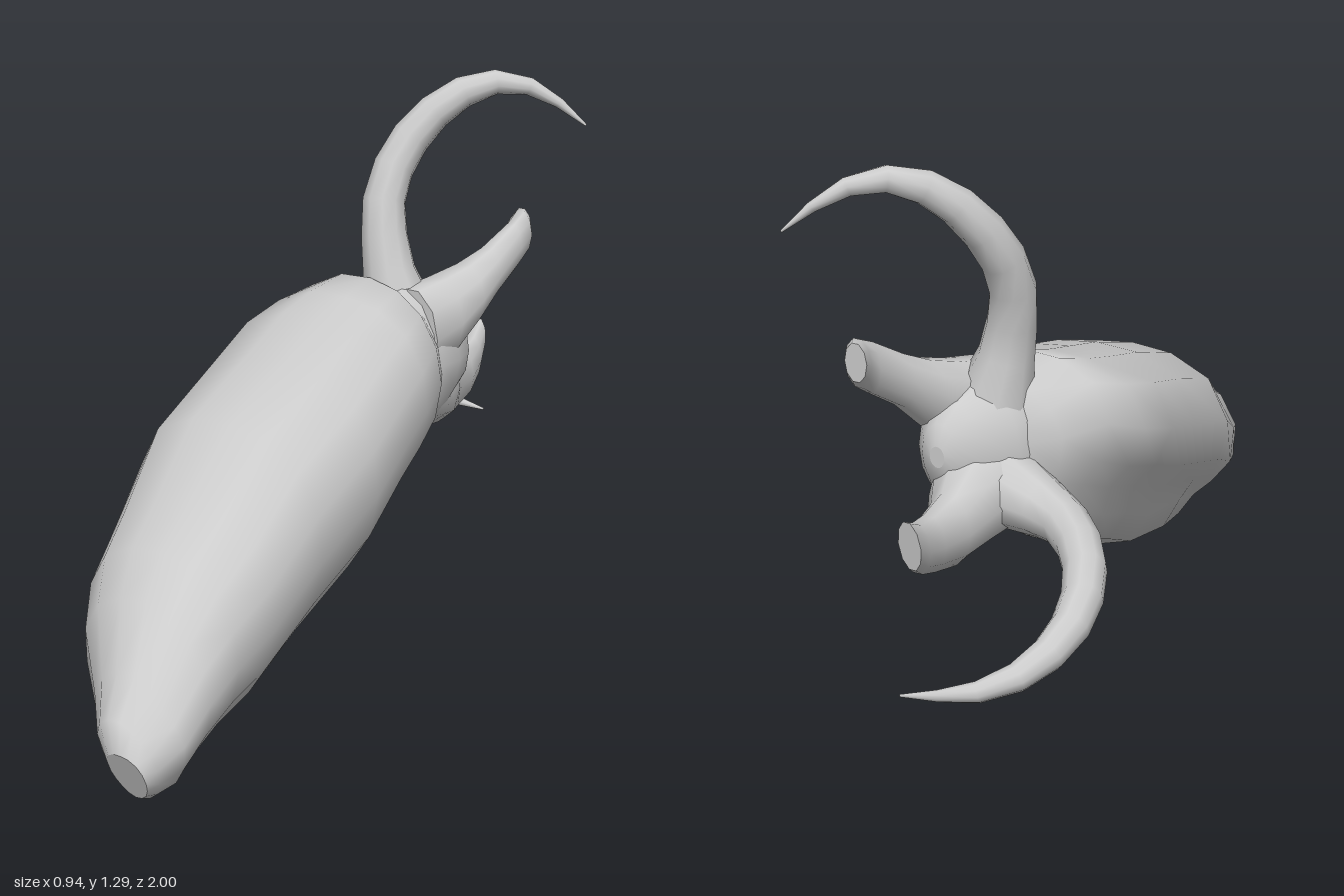
import * as THREE from 'three';

const material = new THREE.MeshStandardMaterial({ color: 0xcccccc, side: THREE.DoubleSide });

// Skin a list of equal-length rings, closing both ends with flat caps
function loft(name, rings) {
  const n = rings[0].length, pos = [], idx = [];
  const put = p => pos.push(p.x, p.y, p.z) / 3 - 1;
  rings.forEach(r => r.forEach(put));
  for (let i = 0; i < rings.length - 1; i++) {
    for (let j = 0; j < n; j++) {
      const a = i * n + j, b = i * n + (j + 1) % n, c = a + n, d = b + n;
      idx.push(a, c, b, b, c, d);
    }
  }
  const cap = (ring, flip) => {
    const mid = ring.reduce((s, p) => s.add(p), new THREE.Vector3()).divideScalar(n);
    const m = put(mid), first = m + 1;
    ring.forEach(put);
    for (let j = 0; j < n; j++) {
      const a = first + j, b = first + (j + 1) % n;
      if (flip) idx.push(m, b, a); else idx.push(m, a, b);
    }
  };
  cap(rings[0], false);
  cap(rings[rings.length - 1], true);
  const g = new THREE.BufferGeometry();
  g.setAttribute('position', new THREE.Float32BufferAttribute(pos, 3));
  g.setIndex(idx);
  g.computeVertexNormals();
  const mesh = new THREE.Mesh(g, material);
  mesh.name = name;
  return mesh;
}

// Oval section [z, xMin, xMax, yMin, yMax, tilt]; shape(angle) scales the radius
function oval([z, x0, x1, y0, y1, tilt = 0], sides, shape = () => 1) {
  return Array.from({ length: sides }, (_, j) => {
    const a = j / sides * Math.PI * 2, k = shape(a) / 2;
    const dy = (y1 - y0) * k * Math.sin(a);
    return new THREE.Vector3((x0 + x1) / 2 + (x1 - x0) * k * Math.cos(a), (y0 + y1) / 2 + dy, z + tilt * dy);
  });
}

// Tapered tube through points [x, y, z, radius]
function horn(name, pts, steps = 12, sides = 10) {
  const curve = new THREE.CatmullRomCurve3(pts.map(p => new THREE.Vector3(p[0], p[1], p[2])));
  const frames = curve.computeFrenetFrames(steps);
  const rings = [];
  for (let i = 0; i <= steps; i++) {
    const u = i / steps, t = curve.getUtoTmapping(u) * (pts.length - 1);
    const k = Math.min(Math.floor(t), pts.length - 2);
    const r = THREE.MathUtils.lerp(pts[k][3], pts[k + 1][3], t - k);
    const c = curve.getPointAt(u);
    rings.push(Array.from({ length: sides }, (_, j) => {
      const a = j / sides * Math.PI * 2;
      return c.clone().addScaledVector(frames.normals[i], r * Math.cos(a))
        .addScaledVector(frames.binormals[i], -r * Math.sin(a));
    }));
  }
  return loft(name, rings);
}

export function createModel() {
  const group = new THREE.Group();
  group.name = 'hornedBody';

  // Long body. The last four numbers of a section swell or pinch it: upper +x
  // corner, upper -x corner, then depth and angle of the cut on the lower -x side
  const lobe = (a, deg) => Math.max(0, Math.cos(a - deg * Math.PI / 180)) ** 6;
  const bodyShape = ([right, left, cut, cutAngle]) => a =>
    1 + right * lobe(a, 45) + left * lobe(a, 140) - cut * lobe(a, cutAngle);
  const bodySections = [
    [0.978, 0.34, 0.44, 0.02, 0.125, 0.4, 0.08, 0.15, 0.1, 222],
    [0.955, 0.29, 0.455, 0.005, 0.19, 0.3, -0.13, 0.1, 0.25, 222],
    [0.89, 0.21, 0.47, 0.0, 0.26, 0.1, -0.25, 0.08, 0.25, 222],
    [0.8, 0.09, 0.46, 0.015, 0.37, 0, -0.08, 0.1, 0.25, 222],
    [0.7, 0.01, 0.445, 0.035, 0.44, 0, 0.03, 0.12, 0.26, 222],
    [0.57, -0.06, 0.425, 0.05, 0.5, 0, 0.07, 0.12, 0.27, 220],
    [0.36, -0.16, 0.385, 0.11, 0.62, 0, 0.07, 0.15, 0.31, 212],
    [0.11, -0.22, 0.335, 0.18, 0.7, 0, 0.07, 0.18, 0.32, 205],
    [-0.08, -0.275, 0.275, 0.27, 0.755, 0, 0.06, 0.18, 0.32, 203],
    [-0.2, -0.275, 0.235, 0.315, 0.785, 0, 0.04, 0.18, 0.3, 203],
    [-0.3, -0.245, 0.2, 0.365, 0.815, 0, 0, 0.15, 0.25, 205],
    [-0.38, -0.18, 0.14, 0.425, 0.76, 0, 0, 0.1, 0.2, 210],
    [-0.41, -0.1, 0.1, 0.5, 0.7, 0, 0, 0, 0, 0],
  ];
  group.add(loft('body', bodySections.map(s => oval(s, 16, bodyShape(s.slice(6))))));

  // Hub joining the body to the horns and prongs
  const hubSections = [
    [-0.28, -0.12, 0.15, 0.44, 0.78],
    [-0.36, -0.12, 0.16, 0.42, 0.81],
    [-0.43, -0.1, 0.155, 0.45, 0.78],
    [-0.5, -0.05, 0.13, 0.5, 0.74],
    [-0.54, -0.01, 0.09, 0.55, 0.7],
    [-0.552, 0.02, 0.06, 0.6, 0.65],
  ];
  group.add(loft('hub', hubSections.map(s => oval(s, 14))));

  // Two blunt prongs at the back, broad where they leave the hub
  const upper = [
    [-0.34, -0.02, 0.155, 0.56, 0.8],
    [-0.43, 0.0, 0.165, 0.6, 0.815],
    [-0.51, 0.035, 0.168, 0.67, 0.835],
    [-0.58, 0.07, 0.166, 0.735, 0.865],
    [-0.67, 0.095, 0.16, 0.79, 0.915],
    [-0.72, 0.08, 0.155, 0.82, 0.935],
    [-0.75, 0.07, 0.13, 0.845, 0.935],
  ];
  const lower = [
    [-0.36, -0.13, 0.13, 0.42, 0.68],
    [-0.44, -0.12, 0.13, 0.415, 0.66],
    [-0.52, -0.1, 0.09, 0.405, 0.62],
    [-0.6, -0.085, 0.035, 0.4, 0.57],
    [-0.69, -0.085, 0.005, 0.42, 0.555],
    [-0.77, -0.105, -0.03, 0.45, 0.57],
    [-0.825, -0.12, -0.06, 0.48, 0.6, -0.15],
  ];
  group.add(loft('upperProng', upper.map(s => oval(s, 10))));
  group.add(loft('lowerProng', lower.map(s => oval(s, 10))));

  // Two long curved horns
  group.add(horn('upperHorn', [
    [0.02, 0.66, -0.38, 0.1], [-0.005, 0.76, -0.375, 0.085], [-0.025, 0.84, -0.37, 0.062],
    [-0.057, 1.0, -0.395, 0.053], [-0.042, 1.13, -0.47, 0.049], [0.03, 1.235, -0.56, 0.041],
    [0.11, 1.268, -0.65, 0.028], [0.18, 1.238, -0.72, 0.018], [0.265, 1.16, -0.78, 0.003],
  ]));
  group.add(horn('sideHorn', [
    [0.0, 0.55, -0.42, 0.11], [-0.12, 0.52, -0.43, 0.078], [-0.22, 0.508, -0.455, 0.056],
    [-0.32, 0.486, -0.525, 0.051], [-0.4, 0.445, -0.63, 0.047], [-0.432, 0.39, -0.76, 0.042],
    [-0.405, 0.345, -0.88, 0.032], [-0.34, 0.32, -0.955, 0.022], [-0.19, 0.292, -0.998, 0.003],
  ]));
  return group;
}
